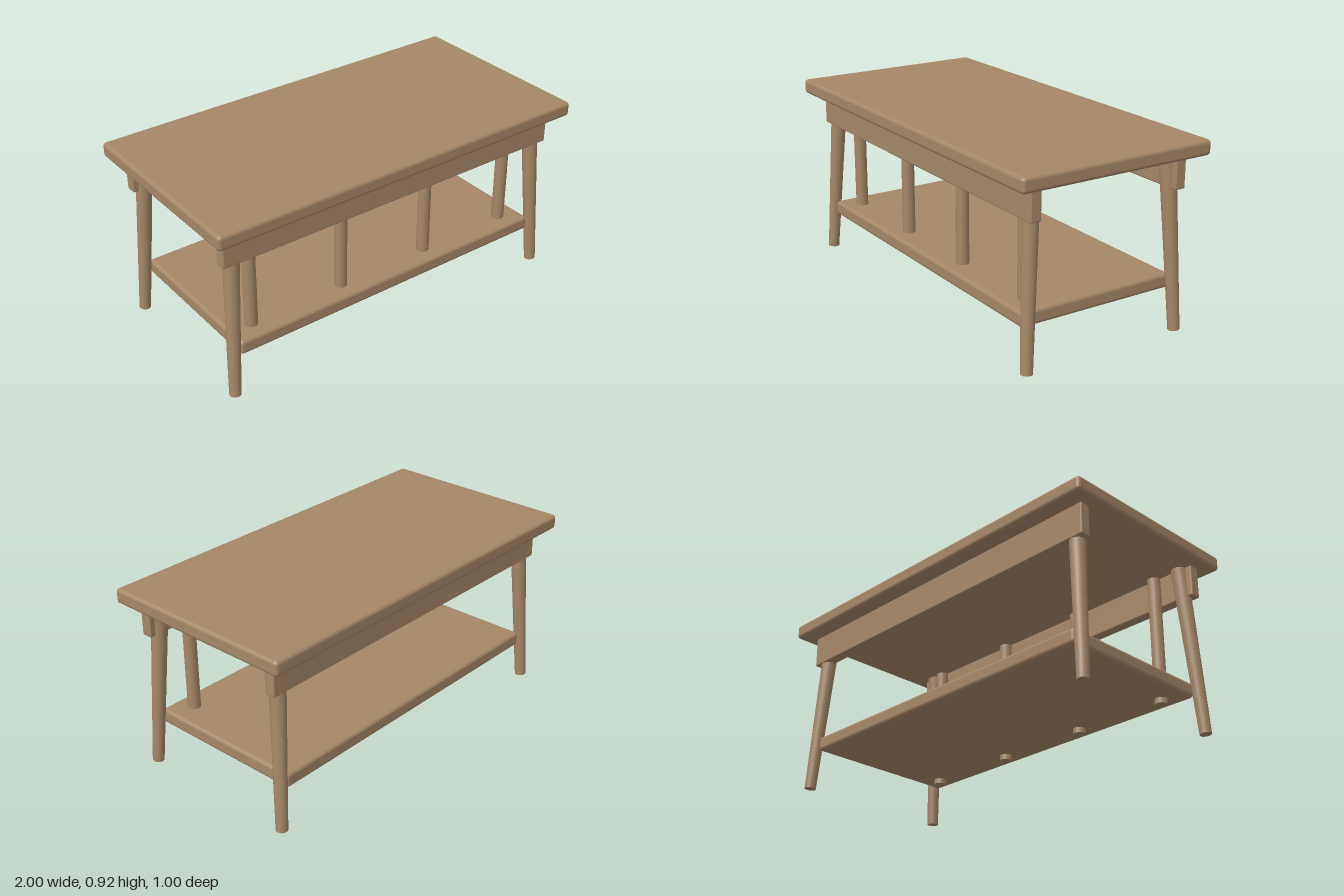
import * as THREE from 'three';
import { RoundedBoxGeometry } from 'three/addons/geometries/RoundedBoxGeometry.js';

export function createModel() {
  const table = new THREE.Group();
  table.name = 'table';
  const wood = new THREE.MeshStandardMaterial({ color: 0xa68766 });
  wood.name = 'wood';

  const add = (name, geometry, x, y, z) => {
    const mesh = new THREE.Mesh(geometry, wood);
    mesh.name = name;
    mesh.position.set(x, y, z);
    table.add(mesh);
    return mesh;
  };

  // Board with softened edges, spanning y0 to y1
  const board = (name, width, y0, y1, depth, radius, z = 0) =>
    add(name, new RoundedBoxGeometry(width, y1 - y0, depth, 4, radius), 0, (y0 + y1) / 2, z);

  board('tabletop', 2, 0.842, 0.915, 1, 0.018);
  board('lowerShelf', 1.735, 0.193, 0.266, 0.82, 0.018);

  // Aprons under the long edges
  board('frontApron', 1.87, 0.687, 0.848, 0.055, 0.007, 0.3875);
  board('backApron', 1.87, 0.687, 0.848, 0.055, 0.007, -0.3875);

  // Splayed, tapered legs
  const up = new THREE.Vector3(0, 1, 0);
  for (const sx of [1, -1]) {
    for (const sz of [1, -1]) {
      const foot = new THREE.Vector3(sx * 0.912, 0.002, sz * 0.412);
      const head = new THREE.Vector3(sx * 0.864, 0.85, sz * 0.365);
      const axis = head.clone().sub(foot);
      const mid = foot.clone().add(head).multiplyScalar(0.5);
      const name = (sz > 0 ? 'front' : 'back') + (sx > 0 ? 'Left' : 'Right') + 'Leg';
      const leg = add(name, new THREE.CylinderGeometry(0.04, 0.028, axis.length(), 24),
        mid.x, mid.y, mid.z);
      leg.quaternion.setFromUnitVectors(up, axis.normalize());
    }
  }

  // Row of upright posts passing through the shelf near the front
  const postGeometry = new THREE.CylinderGeometry(0.031, 0.031, 0.65, 24);
  [-0.75, -0.25, 0.25, 0.75].forEach((x, i) =>
    add('post' + (i + 1), postGeometry, x, 0.491, 0.314));

  return table;
}
